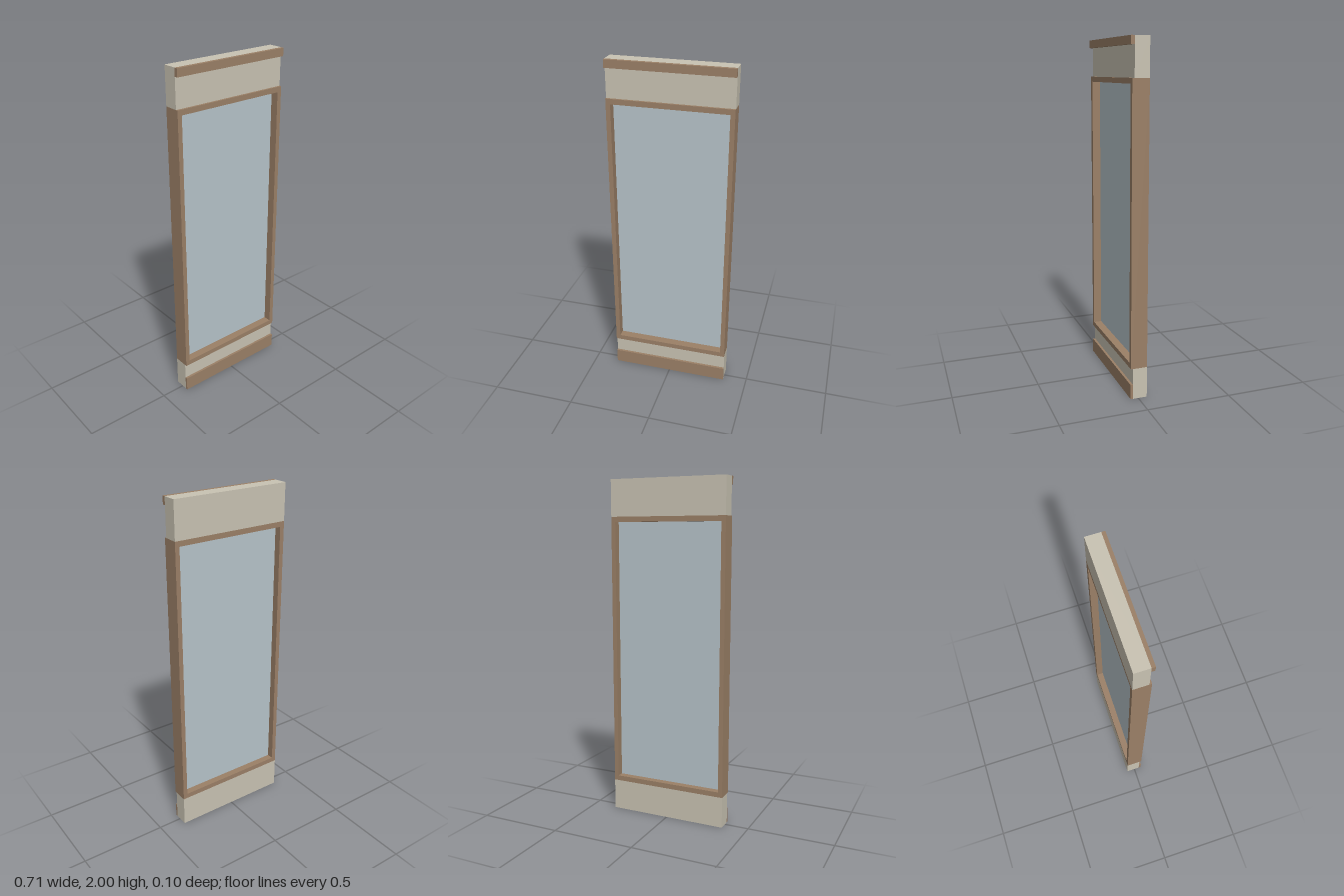
import * as THREE from 'three';

export function createModel() {
  const group = new THREE.Group();
  const wall = new THREE.MeshStandardMaterial({ name: 'wall plaster', color: 0xc9c3b3 });
  const wood = new THREE.MeshStandardMaterial({ name: 'brown wood', color: 0x9b8067 });
  const glass = new THREE.MeshStandardMaterial({ name: 'pale glass', color: 0xb7c4ca });

  // Box given by its limits on each axis
  function box(name, material, [x0, x1], [y0, y1], [z0, z1]) {
    const mesh = new THREE.Mesh(new THREE.BoxGeometry(x1 - x0, y1 - y0, z1 - z0), material);
    mesh.position.set((x0 + x1) / 2, (y0 + y1) / 2, (z0 + z1) / 2);
    mesh.name = name;
    group.add(mesh);
  }

  const half = 0.356, stile = 0.026, rail = 0.03;
  const bottom = 0.182, top = 1.787;
  const full = [-half, half], inner = [-half + stile, half - stile];
  const wallZ = [-0.052, 0.032], frameZ = [-0.052, 0.045];

  // Wall sections below and above the window
  box('lowerWall', wall, full, [0, bottom], wallZ);
  box('upperWall', wall, full, [top, 2], wallZ);

  // Trim boards on the front
  box('baseboard', wood, full, [0, 0.086], [0.032, 0.046]);
  box('crownTrim', wood, full, [1.955, 2], [0.032, 0.052]);

  // Window frame: two full-height stiles with rails between them
  for (const side of [-1, 1]) {
    const xs = [side * half, side * (half - stile)].sort((a, b) => a - b);
    box(side > 0 ? 'leftStile' : 'rightStile', wood, xs, [bottom, top], frameZ);
  }
  box('bottomRail', wood, inner, [bottom, bottom + rail], frameZ);
  box('topRail', wood, inner, [top - rail, top], frameZ);

  // Glass pane set in the middle of the frame
  box('glassPane', glass, inner, [bottom + rail, top - rail], [-0.011, -0.003]);

  return group;
}
